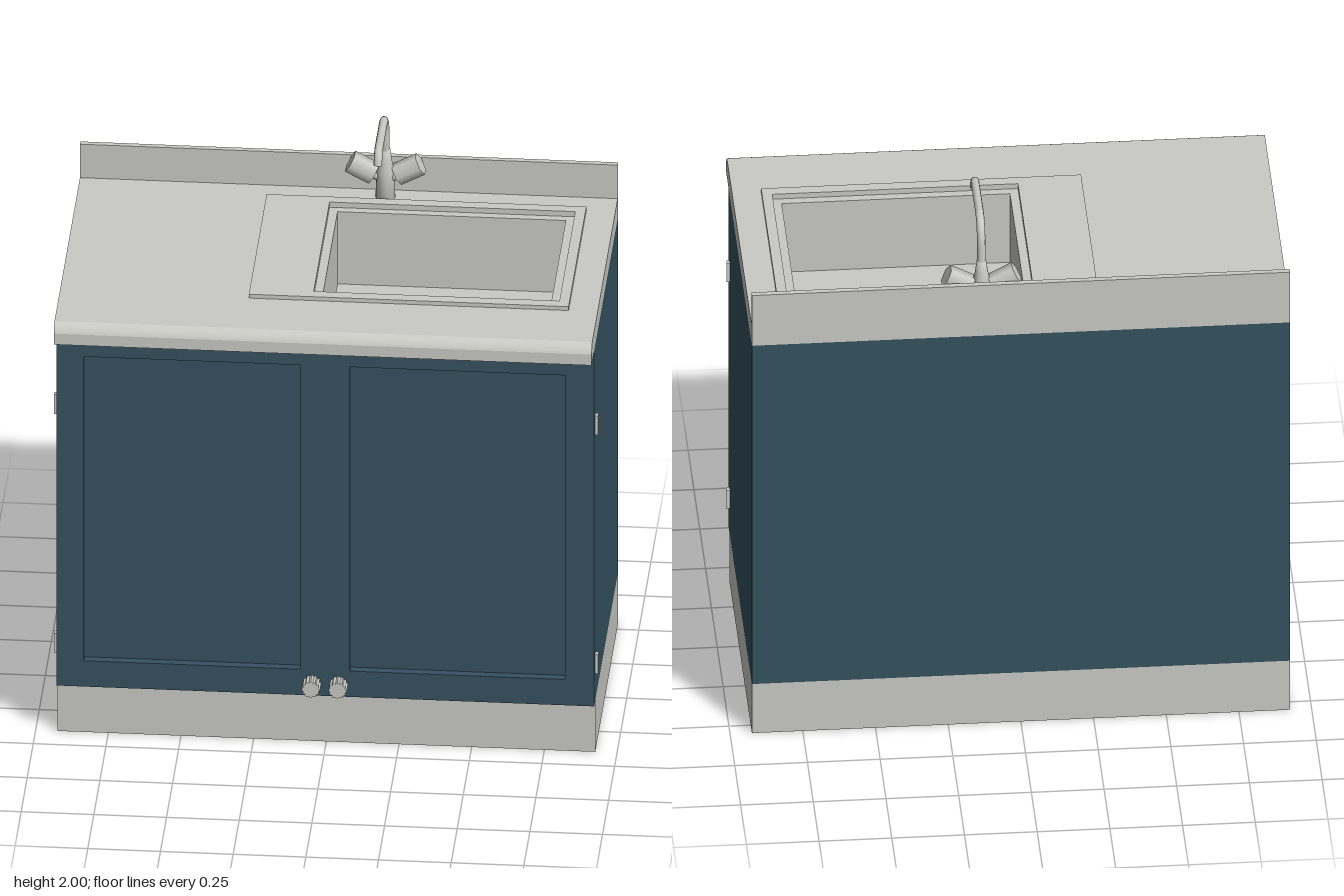
import * as THREE from 'three';

const teal = new THREE.MeshStandardMaterial({ color: 0x35525f });
teal.name = 'teal paint';
const pale = new THREE.MeshStandardMaterial({ color: 0xcacac5 });
pale.name = 'pale grey';

// Rectangle path from two corners
function rect(Type, x0, y0, x1, y1) {
  const p = new Type();
  p.moveTo(x0, y0);
  p.lineTo(x1, y0);
  p.lineTo(x1, y1);
  p.lineTo(x0, y1);
  p.closePath();
  return p;
}

// Plate seen from above, [x0, z0, x1, z1], with an optional opening
function plate(outer, hole, y0, y1) {
  const flat = (Type, r) => rect(Type, r[0], -r[3], r[2], -r[1]);
  const shape = flat(THREE.Shape, outer);
  if (hole) shape.holes.push(flat(THREE.Path, hole));
  const geo = new THREE.ExtrudeGeometry(shape, { depth: y1 - y0, bevelEnabled: false });
  return geo.rotateX(-Math.PI / 2).translate(0, y0, 0);
}

function box(x0, y0, z0, x1, y1, z1) {
  return new THREE.BoxGeometry(x1 - x0, y1 - y0, z1 - z0)
    .translate((x0 + x1) / 2, (y0 + y1) / 2, (z0 + z1) / 2);
}

export function createModel() {
  const model = new THREE.Group();
  model.name = 'sinkCabinet';
  const add = (name, geo, mat, parent = model) => {
    const mesh = new THREE.Mesh(geo, mat);
    mesh.name = name;
    parent.add(mesh);
    return mesh;
  };
  const W = 0.925, BACK = -0.55, FRONT = 0.445;

  // Plinth and hollow cabinet
  add('plinth', box(-W, 0, BACK, W, 0.2, 0.4), pale);
  add('cabinetFloor', box(-W, 0.2, BACK, W, 0.23, FRONT - 0.03), teal);
  add('cabinetWalls', plate([-W, BACK, W, FRONT - 0.03], [-W + 0.03, BACK + 0.03, W - 0.03, FRONT - 0.06], 0.2, 1.58), teal);

  // Door frames with recessed panels
  const face = rect(THREE.Shape, -W, 0.2, W, 1.58);
  face.holes.push(rect(THREE.Path, -0.83, 0.3, -0.085, 1.48), rect(THREE.Path, 0.085, 0.3, 0.825, 1.48));
  add('doorFrames', new THREE.ExtrudeGeometry(face, { depth: 0.03, bevelEnabled: false }).translate(0, 0, FRONT - 0.03), teal);

  // Scalloped knobs and side hinges
  const knob = new THREE.Shape();
  for (let i = 0; i < 24; i++) {
    const a = (i / 24) * Math.PI * 2, r = i % 2 ? 0.027 : 0.032;
    knob[i ? 'lineTo' : 'moveTo'](Math.cos(a) * r, Math.sin(a) * r);
  }
  knob.closePath();
  const knobGeo = new THREE.ExtrudeGeometry(knob, { depth: 0.05, bevelEnabled: false });
  for (const s of [-1, 1]) {
    add('knob', knobGeo, pale).position.set(s * 0.046, 0.248, FRONT);
    for (const y of [0.347, 1.273]) {
      add('hinge', new THREE.BoxGeometry(0.02, 0.075, 0.02), pale).position.set(s * 0.926, y, 0.402);
    }
  }

  // Worktop with sink opening, rounded nosing and upstand
  const rim = [-0.055, -0.395, 0.79, 0.26];
  const bowl = [-0.025, -0.365, 0.76, 0.23];
  add('worktop', plate([-W, BACK, W, 0.45], rim, 1.58, 1.655), pale);
  const nose = new THREE.Shape();
  nose.moveTo(0.45, 1.58);
  nose.lineTo(0.553, 1.58);
  nose.lineTo(0.553, 1.622);
  nose.quadraticCurveTo(0.545, 1.643, 0.522, 1.655);
  nose.lineTo(0.45, 1.655);
  nose.closePath();
  const noseGeo = new THREE.ExtrudeGeometry(nose, { depth: 2 * W, bevelEnabled: false, curveSegments: 6 });
  add('worktopNosing', noseGeo.rotateY(-Math.PI / 2).translate(W, 0, 0), pale);
  add('upstand', box(-W, 1.655, BACK, W, 1.785, BACK + 0.02), pale);

  // Sink plate, stepped bowl and drain
  add('sinkPlate', plate([-0.275, -0.435, 0.825, 0.3], rim, 1.655, 1.67), pale);
  add('bowlWalls', plate(rim, bowl, 1.37, 1.65), pale);
  add('bowlFloor', plate(rim, null, 1.35, 1.37), pale);
  add('drain', new THREE.CylinderGeometry(0.036, 0.036, 0.015, 8).translate(0.13, 1.3775, -0.24), pale);

  // Tap: turned body, bent spout, two hexagonal handles
  const tap = new THREE.Group();
  tap.name = 'tap';
  tap.position.set(0.13, 0, -0.48);
  model.add(tap);
  const profile = [[0, 1.655], [0.034, 1.655], [0.031, 1.76], [0.022, 1.8], [0.017, 1.84], [0, 1.84]]
    .map(([r, y]) => new THREE.Vector2(r, y));
  add('tapBody', new THREE.LatheGeometry(profile, 16), pale, tap);

  const v = (y, z) => new THREE.Vector3(0, y, z);
  const path = new THREE.CurvePath();
  path.add(new THREE.LineCurve3(v(1.8, 0), v(1.9, 0.008)));
  path.add(new THREE.CubicBezierCurve3(v(1.9, 0.008), v(1.95, 0.012), v(1.987, 0.04), v(1.987, 0.09)));
  path.add(new THREE.LineCurve3(v(1.987, 0.09), v(1.987, 0.27)));
  path.add(new THREE.QuadraticBezierCurve3(v(1.987, 0.27), v(1.987, 0.3), v(1.94, 0.313)));
  add('spout', new THREE.TubeGeometry(path, 40, 0.0145, 10), pale, tap);
  const tip = add('spoutTip', new THREE.CircleGeometry(0.0145, 10), pale, tap);
  tip.position.copy(v(1.94, 0.313));
  tip.lookAt(tip.getWorldPosition(new THREE.Vector3()).add(v(-0.047, 0.013)));

  for (const s of [-1, 1]) {
    const arm = new THREE.Group();
    arm.name = s > 0 ? 'leftHandle' : 'rightHandle';
    arm.position.set(0, 1.722, 0);
    arm.rotation.z = -s * 1.08;
    tap.add(arm);
    add('handleStem', new THREE.CylinderGeometry(0.018, 0.018, 0.07, 10).translate(0, 0.035, 0), pale, arm);
    const grip = new THREE.CylinderGeometry(0.04, 0.04, 0.092, 6).translate(0, 0.091, 0);
    add('handleGrip', grip, pale, arm);
  }
  return model;
}
